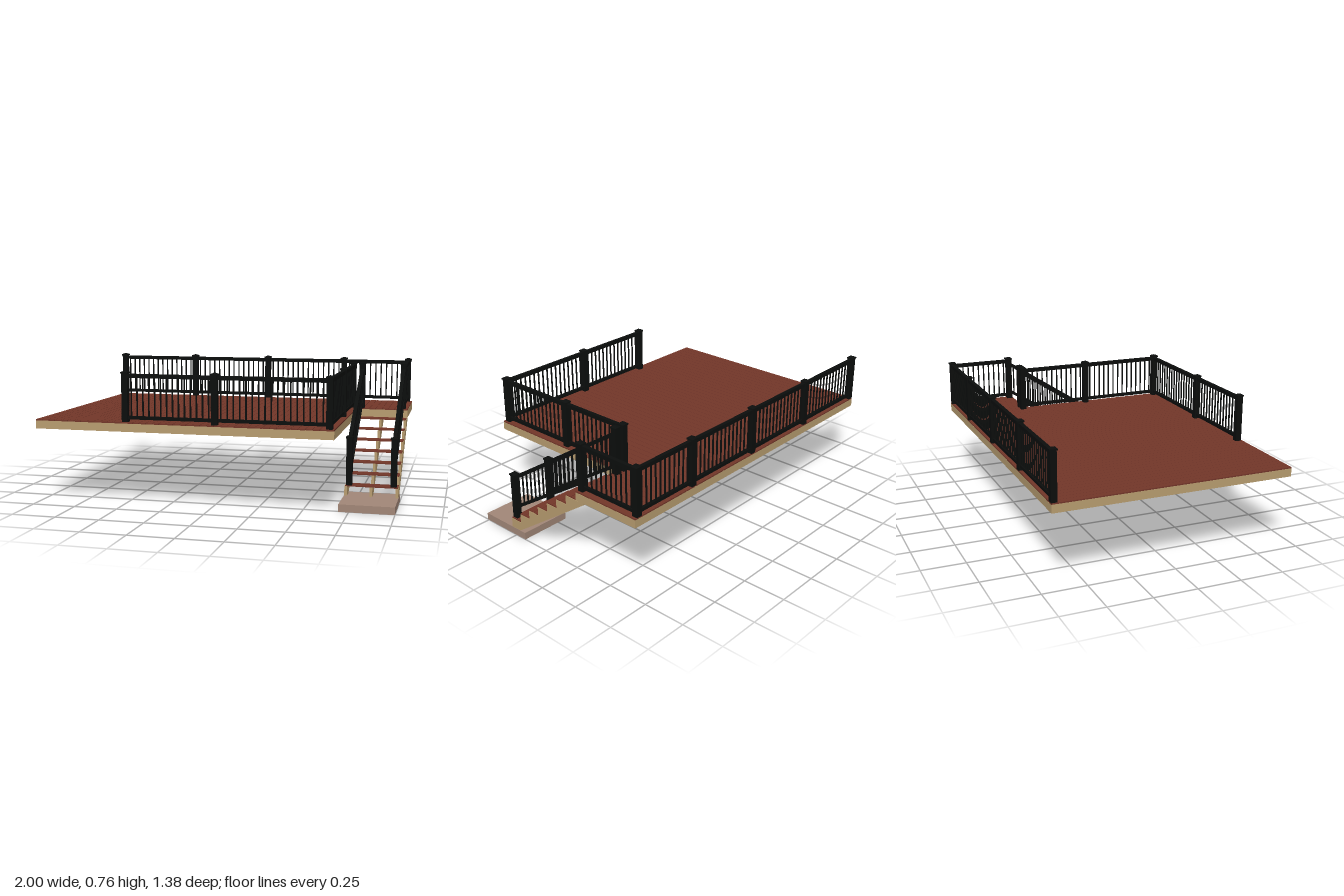
import * as THREE from 'three';
import { mergeGeometries } from 'three/addons/utils/BufferGeometryUtils.js';

const mat = (name, color) => {
  const m = new THREE.MeshStandardMaterial({ color });
  m.name = name;
  return m;
};

export function createModel() {
  const model = new THREE.Group();
  model.name = 'deck';
  const boardRed = mat('redwood boards', 0x733629);
  const timber = mat('tan timber', 0xb89d70);
  const metal = mat('black metal', 0x0c0e0d);
  const paving = mat('paving', 0xa28778);
  const concrete = mat('grey underside', 0xbcbcbc);

  const box = (x0, x1, y0, y1, z0, z1) =>
    new THREE.BoxGeometry(x1 - x0, y1 - y0, z1 - z0)
      .translate((x0 + x1) / 2, (y0 + y1) / 2, (z0 + z1) / 2);
  const add = (name, geos, material) => {
    const mesh = new THREE.Mesh(Array.isArray(geos) ? mergeGeometries(geos) : geos, material);
    mesh.name = name;
    model.add(mesh);
    return mesh;
  };

  // Deck outline: a rectangle with a notch for the stairs
  const Z = 0.688, NX = 0.692, NZ = -0.263, TOP = 0.476;
  const outline = (d) => [
    [-1 + d, -Z + d], [1 - d, -Z + d], [1 - d, NZ - d],
    [NX - d, NZ - d], [NX - d, Z - d], [-1 + d, Z - d],
  ].map(([x, z]) => new THREE.Vector2(x, -z));
  const rim = new THREE.Shape(outline(0));
  rim.holes.push(new THREE.Path(outline(0.016)));
  add('rimJoists', new THREE.ExtrudeGeometry(rim, { depth: 0.046, bevelEnabled: false })
    .rotateX(-Math.PI / 2).translate(0, 0.423, 0), timber);

  // Deck boards, shortened where the notch is
  const boards = [], count = 52, pitch = 2 / count;
  for (let i = 0; i < count; i++) {
    const x = -1 + i * pitch;
    boards.push(box(x + 0.001, x + pitch - 0.001, 0.469, TOP, -Z, i < 44 ? Z : NZ));
  }
  add('deckBoards', boards, boardRed);

  // Railing parts
  const post = (x, z, y0, y1) => {
    const h = 0.017, c = 0.021;
    const cap = new THREE.ConeGeometry(c * Math.SQRT2, 0.008, 4).rotateY(Math.PI / 4).translate(x, y1 - 0.004, z);
    add('railPost', [
      box(x - h, x + h, y0, y1 - 0.014, z - h, z + h),
      box(x - c, x + c, y1 - 0.016, y1 - 0.008, z - c, z + c),
      cap,
    ], metal);
  };
  const beam = (a, b, width, height) => {
    const o = new THREE.Object3D();
    o.position.copy(a).add(b).multiplyScalar(0.5);
    o.lookAt(b);
    o.updateMatrix();
    return new THREE.BoxGeometry(width, height, a.distanceTo(b)).applyMatrix4(o.matrix);
  };
  // a and b are [x, z, lowRailHeight, topRailHeight]
  const railing = (name, a, b) => {
    const p = (e, k) => new THREE.Vector3(e[0], e[k], e[1]);
    const geos = [
      beam(p(a, 3), p(b, 3), 0.022, 0.022),
      beam(p(a, 2), p(b, 2), 0.018, 0.018),
    ];
    const n = Math.round(Math.hypot(b[0] - a[0], b[1] - a[1]) / 0.0345);
    for (let i = 1; i < n; i++) {
      const q = a.map((v, k) => v + (b[k] - v) * i / n);
      const w = 0.0035;
      geos.push(box(q[0] - w, q[0] + w, q[2], q[3], q[1] - w, q[1] + w));
    }
    add(name, geos, metal);
  };

  // Level railings
  const level = (x, z) => [x, z, 0.5, 0.731];
  const rows = {
    backRailing: [[-0.98, -0.672], [-0.47, -0.672], [0.04, -0.672], [0.553, -0.672], [0.97, -0.672]],
    leftRailing: [[0.97, -0.672], [0.97, -0.287]],
    frontRailing: [[-0.47, 0.662], [0.04, 0.662], [0.664, 0.662]],
    notchRailing: [[0.664, 0.662], [0.664, 0.153], [0.664, -0.287]],
  };
  const placed = new Set();
  const levelPost = (x, z) => {
    const key = `${x},${z}`;
    if (!placed.has(key)) post(x, z, TOP, 0.76);
    placed.add(key);
  };
  for (const [name, pts] of Object.entries(rows)) {
    pts.forEach(([x, z], i) => {
      levelPost(x, z);
      if (i) railing(name, level(...pts[i - 1]), level(x, z));
    });
  }

  // Stair railings
  for (const x of [0.72, 0.97]) {
    levelPost(x, -0.287);
    post(x, 0.267, 0.1, 0.387);
    railing('stairRailing', [x, -0.287, 0.525, 0.715], [x, 0.267, 0.165, 0.352]);
  }

  // Stair treads, two boards each
  const steps = 7, rise = 0.0537, run = 0.078, front = 0.285;
  const treads = [];
  for (let i = 0; i < steps; i++) {
    const y = 0.102 + i * rise, z = front - i * run;
    for (const k of [0, 1]) {
      const z1 = z - k * 0.038;
      treads.push(box(0.7, 0.995, y - 0.006, y, z1 - 0.0355, z1));
    }
  }
  add('stairTreads', treads, boardRed);

  // Saw-tooth stringers; shape x is z, extruded across the stair
  const saw = [[-0.317, 0.423], [-0.317, 0.41], [0.215, 0.042], [front, 0.042]];
  for (let i = 0; i < steps; i++) {
    const y = 0.0965 + i * rise;
    saw.push([front - i * run, y], [front - (i + 1) * run, y]);
  }
  const stringer = new THREE.Shape(saw.map(([z, y]) => new THREE.Vector2(-z, y)));
  for (const x of [0.695, 0.838, 0.983]) {
    add('stairStringer', new THREE.ExtrudeGeometry(stringer, { depth: 0.015, bevelEnabled: false })
      .rotateY(Math.PI / 2).translate(x, 0, 0), timber);
  }
  add('stairLedger', box(0.695, 0.998, 0.409, 0.424, -0.317, -0.285), timber);

  // Landing slab with a bare underside
  add('landingSlab', box(0.693, 1, 0, 0.042, 0.175, 0.51),
    [paving, paving, paving, concrete, paving, paving]);
  return model;
}
